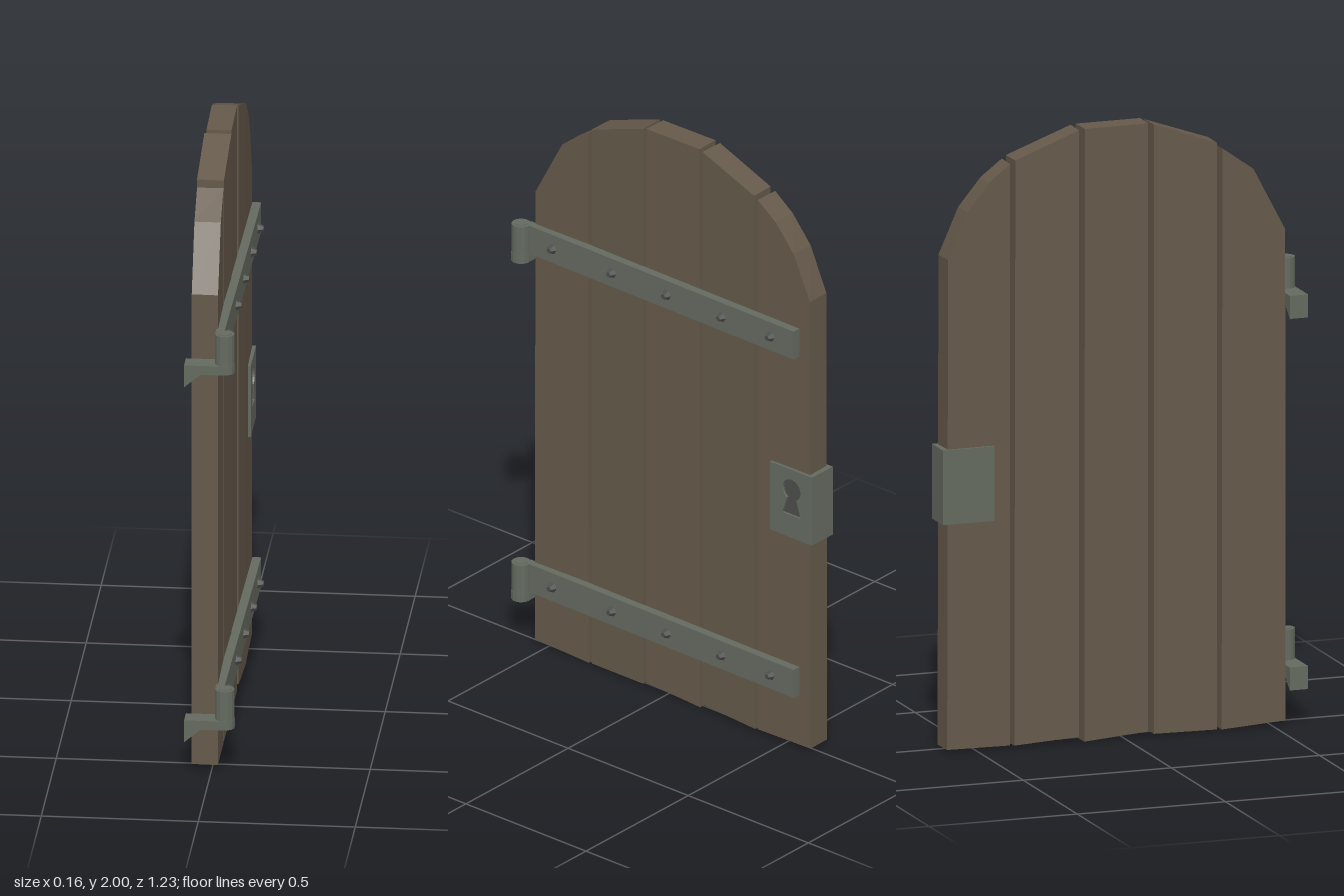
import * as THREE from 'three';

const wood = new THREE.MeshStandardMaterial({ color: 0x65594a, flatShading: true });
const iron = new THREE.MeshStandardMaterial({ color: 0x646a60, flatShading: true });
const darkIron = new THREE.MeshStandardMaterial({ color: 0x4c4e4b, flatShading: true });

function add(parent, name, geometry, material, x = 0, y = 0, z = 0) {
  const mesh = new THREE.Mesh(geometry, material);
  mesh.name = name;
  mesh.position.set(x, y, z);
  parent.add(mesh);
  return mesh;
}

// Outline given as [z, y] pairs, extruded along x from x0 to x1
function slab(points, x0, x1, hole) {
  const shape = new THREE.Shape(points.map(([z, y]) => new THREE.Vector2(-z, y)));
  if (hole) shape.holes.push(hole);
  return new THREE.ExtrudeGeometry(shape, { depth: x1 - x0, bevelEnabled: false })
    .translate(0, 0, x0).rotateY(Math.PI / 2);
}

// Five uneven boards forming the arched leaf
function buildPlanks() {
  const group = new THREE.Group();
  group.name = 'planks';
  const outlines = [
    [[0.547, 0.02], [0.325, 0.008], [0.328, 1.9], [0.435, 1.825], [0.545, 1.62]],
    [[0.313, 0.01], [0.097, 0.012], [0.098, 1.995], [0.313, 1.92]],
    [[0.083, 0.02], [-0.137, 0.005], [-0.135, 2], [0.084, 2]],
    [[-0.15, 0.022], [-0.372, 0.01], [-0.368, 1.915], [-0.15, 1.997]],
    [[-0.382, 0.012], [-0.6, 0.015], [-0.597, 1.61], [-0.53, 1.76], [-0.455, 1.85], [-0.382, 1.905]],
  ];
  const faces = [[-0.066, 0.018], [-0.068, 0.018], [-0.063, 0.017], [-0.062, 0.021], [-0.063, 0.02]];
  outlines.forEach((outline, i) => {
    const geo = slab(outline, ...faces[i]);
    // Narrow the rear face slightly and skew the board like hand-cut timber
    const p = geo.attributes.position;
    const mid = (outline[0][0] + outline[1][0]) / 2;
    for (let k = 0; k < p.count; k++) {
      const dz = p.getZ(k) - mid;
      if (p.getX(k) < -0.03) p.setZ(k, mid + dz * 0.98);
      p.setX(k, p.getX(k) + dz * (i % 2 ? -0.015 : 0.015));
    }
    geo.computeVertexNormals();
    add(group, 'plank', geo, wood);
  });
  return group;
}

// Strap with nails, barrel and wall bracket; y is the strap's middle
function buildHinge(y) {
  const hinge = new THREE.Group();
  hinge.name = 'hinge';
  hinge.position.y = y;

  const strap = new THREE.Group();
  strap.name = 'strapAssembly';
  strap.position.x = 0.033;
  strap.rotation.y = -0.009;
  hinge.add(strap);
  add(strap, 'strap', new THREE.BoxGeometry(0.028, 0.1, 1.125), iron, 0, 0, 0.005);
  for (const z of [0.455, 0.205, -0.025, -0.255, -0.46]) {
    const nail = new THREE.CylinderGeometry(0.009, 0.019, 0.02, 6).rotateZ(-Math.PI / 2);
    add(strap, 'nail', nail, darkIron, 0.022, 0, z);
  }

  add(hinge, 'barrel', new THREE.CylinderGeometry(0.031, 0.031, 0.1, 14), iron, 0.045, 0, 0.583);
  add(hinge, 'pin', new THREE.CylinderGeometry(0.021, 0.021, 0.104, 12), iron, 0.045, 0, 0.583);
  add(hinge, 'pinSeat', new THREE.CylinderGeometry(0.032, 0.032, 0.03, 14), iron, 0.045, -0.065, 0.583);

  // Bracket profile in x and y, with a sloping foot at the rear
  const profile = new THREE.Shape([
    [-0.082, -0.05], [-0.082, -0.125], [-0.03, -0.08], [0.045, -0.08], [0.045, -0.05],
  ].map(([a, b]) => new THREE.Vector2(a, b)));
  const bracket = new THREE.ExtrudeGeometry(profile, { depth: 0.062, bevelEnabled: false });
  add(hinge, 'wallBracket', bracket, iron, 0, 0, 0.552);
  return hinge;
}

// Lock cover wrapped round the free edge, with a recessed keyhole
function buildLock() {
  const lock = new THREE.Group();
  lock.name = 'lock';
  const hole = new THREE.Path();
  hole.moveTo(0.492, 0.83);
  hole.lineTo(0.512, 0.89);
  hole.absarc(0.53, 0.92, 0.037, Math.PI * 1.33, -Math.PI * 0.33, true);
  hole.lineTo(0.568, 0.83);
  hole.closePath();
  const rect = [[-0.44, 0.75], [-0.615, 0.75], [-0.615, 0.993], [-0.44, 0.993]];
  add(lock, 'frontPlate', slab(rect, 0.02, 0.03, hole), iron);
  add(lock, 'coverBody', new THREE.BoxGeometry(0.092, 0.243, 0.175), iron, -0.026, 0.8715, -0.5275);
  add(lock, 'keyholeBack', new THREE.BoxGeometry(0.004, 0.16, 0.1), darkIron, 0.0205, 0.89, -0.53);
  return lock;
}

export function createModel() {
  const door = new THREE.Group();
  door.name = 'archedDoor';
  door.add(buildPlanks(), buildHinge(1.455), buildHinge(0.245), buildLock());
  return door;
}
